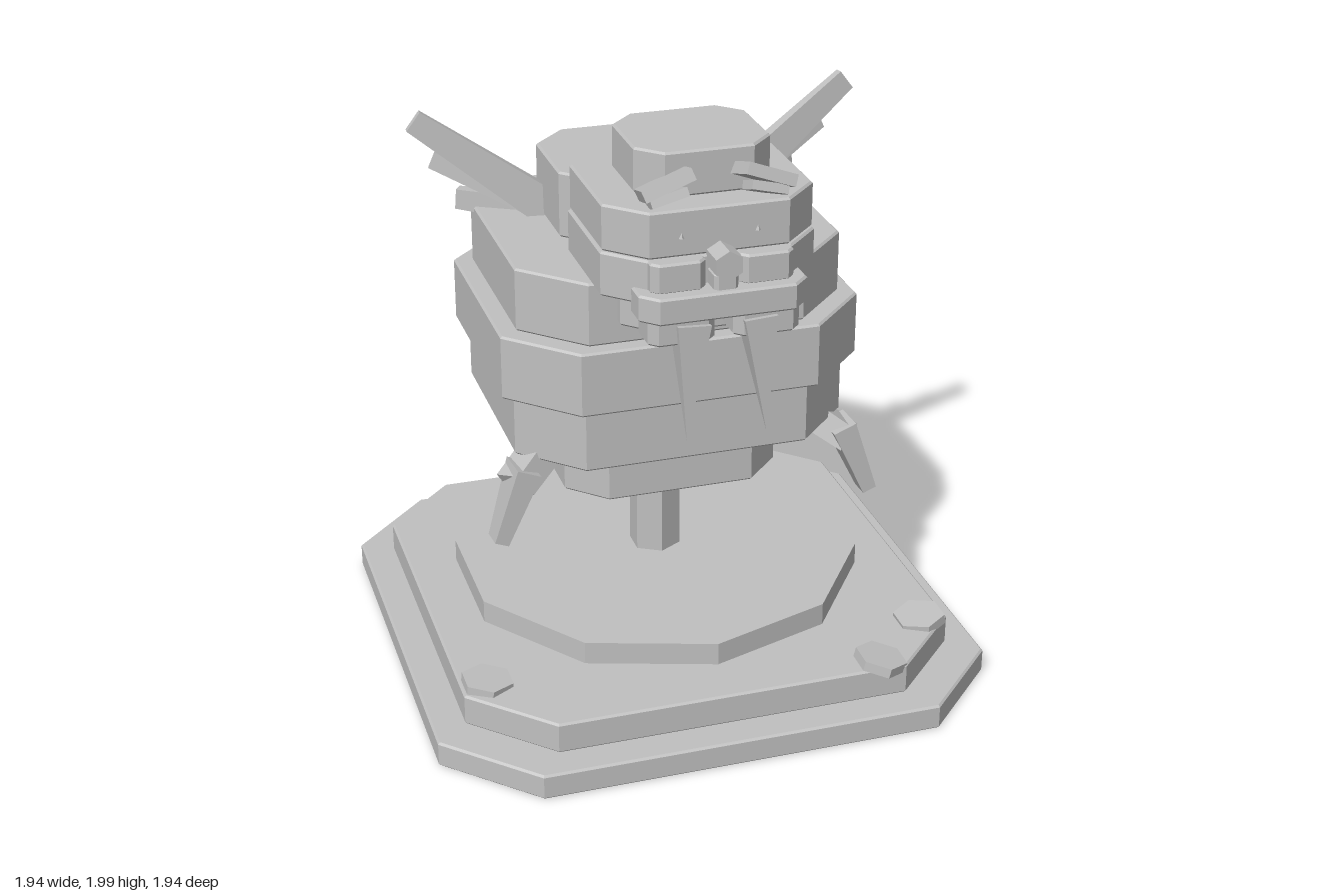
import * as THREE from 'three';

const stone = new THREE.MeshStandardMaterial({ color: 0xc0c0c0 });
stone.name = 'grey stone';

export function createModel() {
  const model = new THREE.Group();
  const add = (name, geometry) => {
    const mesh = new THREE.Mesh(geometry, stone);
    mesh.name = name;
    model.add(mesh);
    return mesh;
  };
  const facet = (geometry) => {
    const flat = geometry.toNonIndexed();
    flat.computeVertexNormals();
    return flat;
  };

  // Bevelled slab with cut corners: x range, y range, z range, corner cut
  const slab = (name, [x0, x1], [y0, y1], [z0, z1], cut, bevel = 0.007) => {
    const cx = (x0 + x1) / 2, cz = (z0 + z1) / 2;
    const w = (x1 - x0) / 2 - bevel, d = (z1 - z0) / 2 - bevel;
    const shape = new THREE.Shape([
      [w - cut, -d], [w, -d + cut], [w, d - cut], [w - cut, d],
      [-w + cut, d], [-w, d - cut], [-w, -d + cut], [-w + cut, -d],
    ].map(([x, z]) => new THREE.Vector2(x, z)));
    const geometry = new THREE.ExtrudeGeometry(shape, {
      depth: y1 - y0 - 2 * bevel, bevelEnabled: true,
      bevelSize: bevel, bevelThickness: bevel, bevelSegments: 1,
    });
    geometry.rotateX(-Math.PI / 2).translate(cx, y0 + bevel, cz);
    return add(name, geometry);
  };

  // Upright prism with a corner pointing at +z
  const prism = (name, sides, r, y0, y1, z) =>
    add(name, facet(new THREE.CylinderGeometry(r, r, y1 - y0, sides)
      .translate(0, (y0 + y1) / 2, z)));

  // Tapered four-sided bar from a to b; sizes are [width, depth], depth lies near the hint
  const bar = (name, a, b, [w0, d0], [w1, d1], hint = [0, 0, 1]) => {
    const p = new THREE.Vector3(...a), q = new THREE.Vector3(...b);
    const y = q.clone().sub(p), length = y.length();
    y.normalize();
    const x = y.clone().cross(new THREE.Vector3(...hint)).normalize();
    const z = x.clone().cross(y);
    const geometry = new THREE.BoxGeometry(1, length, 1);
    const pos = geometry.attributes.position;
    for (let i = 0; i < pos.count; i++) {
      const end = pos.getY(i) > 0;
      pos.setX(i, pos.getX(i) * (end ? w1 : w0));
      pos.setZ(i, pos.getZ(i) * (end ? d1 : d0));
    }
    geometry.applyMatrix4(new THREE.Matrix4().makeBasis(x, y, z)
      .setPosition(p.add(q).multiplyScalar(0.5)));
    return add(name, facet(geometry));
  };

  // Stepped base and post
  slab('baseLower', [-0.97, 0.97], [0.01, 0.1], [-0.97, 0.97], 0.28);
  slab('baseMiddle', [-0.86, 0.86], [0.1, 0.21], [-0.86, 0.86], 0.25);
  prism('baseUpper', 10, 0.725, 0.21, 0.29, -0.055);
  prism('post', 6, 0.092, 0.3, 0.63, -0.06);

  // Loose stones on the base
  for (const [x, y, z, tx, tz] of [
    [-0.77, 0.215, 0.555, 0.02, -0.1],
    [0.53, 0.215, 0.81, 0.04, -0.22],
    [0.76, 0.215, 0.6, 0.03, 0.12],
  ]) {
    const rock = add('stone', facet(new THREE.CylinderGeometry(0.09, 0.09, 0.035, 6)));
    rock.position.set(x, y, z);
    rock.rotation.set(tx, 0, tz);
  }

  // Body bands, bottom to top
  slab('bodyBottom', [-0.38, 0.38], [0.66, 0.88], [-0.43, 0.25], 0.12);
  slab('bodyLower', [-0.577, 0.577], [0.88, 1.1], [-0.61, 0.43], 0.19);
  slab('bodyMiddle', [-0.62, 0.62], [1.1, 1.325], [-0.65, 0.47], 0.21);
  slab('bodyUpper', [-0.56, 0.56], [1.325, 1.545], [-0.595, 0.42], 0.19);
  slab('shoulders', [-0.35, 0.35], [1.545, 1.775], [-0.405, 0.12], 0.11);

  // Head
  slab('neck', [-0.27, 0.27], [1.4, 1.55], [0.15, 0.55], 0.1);
  slab('headLower', [-0.355, 0.355], [1.545, 1.695], [0.02, 0.64], 0.115);
  slab('headUpper', [-0.348, 0.348], [1.695, 1.85], [0.025, 0.635], 0.115);
  slab('crown', [-0.225, 0.225], [1.85, 2], [0.135, 0.53], 0.075);

  // Muzzle and nose
  slab('muzzle', [-0.277, 0.277], [1.51, 1.6], [0.54, 0.73], 0.05);
  slab('noseBridge', [-0.04, 0.04], [1.595, 1.65], [0.6, 0.71], 0.01, 0.004);
  add('nose', facet(new THREE.CylinderGeometry(0.05, 0.05, 0.12, 6)
    .rotateX(Math.PI / 2))).position.set(0, 1.685, 0.67);

  for (const s of [-1, 1]) {
    const range = (a, b) => (s > 0 ? [a, b] : [-b, -a]);
    slab('cheek', range(0.055, 0.235), [1.595, 1.695], [0.56, 0.685], 0.02);
    slab('lip', range(0.03, 0.25), [1.43, 1.515], [0.555, 0.71], 0.025);

    // Tusk
    bar('tusk', [s * 0.11, 1.49, 0.68], [s * 0.133, 1.105, 0.727], [0.11, 0.1], [0.003, 0.003]);

    // Eye
    add('eye', facet(new THREE.ConeGeometry(0.009, 0.02, 4))).position.set(s * 0.125, 1.765, 0.635);

    // Brow: a tilted plate over a smaller one
    bar('brow', [s * 0.24, 1.885, 0.575], [s * 0.08, 1.945, 0.575],
      [0.04, 0.14], [0.04, 0.14], [0, 0.36, 1]);
    bar('browUnder', [s * 0.22, 1.865, 0.6], [s * 0.1, 1.895, 0.6],
      [0.03, 0.08], [0.03, 0.08], [0, 0.4, 1]);

    // Fan of three spines on each shoulder
    bar('spineTop', [s * 0.3, 1.54, -0.225], [s * 0.77, 1.895, -0.293], [0.13, 0.06], [0.078, 0.032]);
    bar('spineMiddle', [s * 0.3, 1.55, -0.225], [s * 0.7, 1.73, -0.355], [0.11, 0.05], [0.055, 0.035]);
    bar('spineLow', [s * 0.3, 1.54, -0.235], [s * 0.605, 1.565, -0.405], [0.09, 0.05], [0.07, 0.045]);

    // Front leg
    bar('frontThigh', [s * 0.4, 0.93, 0.16], [s * 0.595, 0.8, 0.3], [0.1, 0.12], [0.09, 0.12]);
    bar('frontShin', [s * 0.56, 0.855, 0.285], [s * 0.66, 0.605, 0.31], [0.085, 0.14], [0.05, 0.085]);

    // Rear leg
    bar('rearThigh', [s * 0.22, 0.9, -0.45], [s * 0.33, 0.785, -0.665], [0.11, 0.1], [0.09, 0.065], [0, 1, 0]);
    bar('rearShin', [s * 0.32, 0.795, -0.645], [s * 0.385, 0.68, -0.78], [0.095, 0.07], [0.075, 0.045], [0, 1, 0]);
  }

  return model;
}
